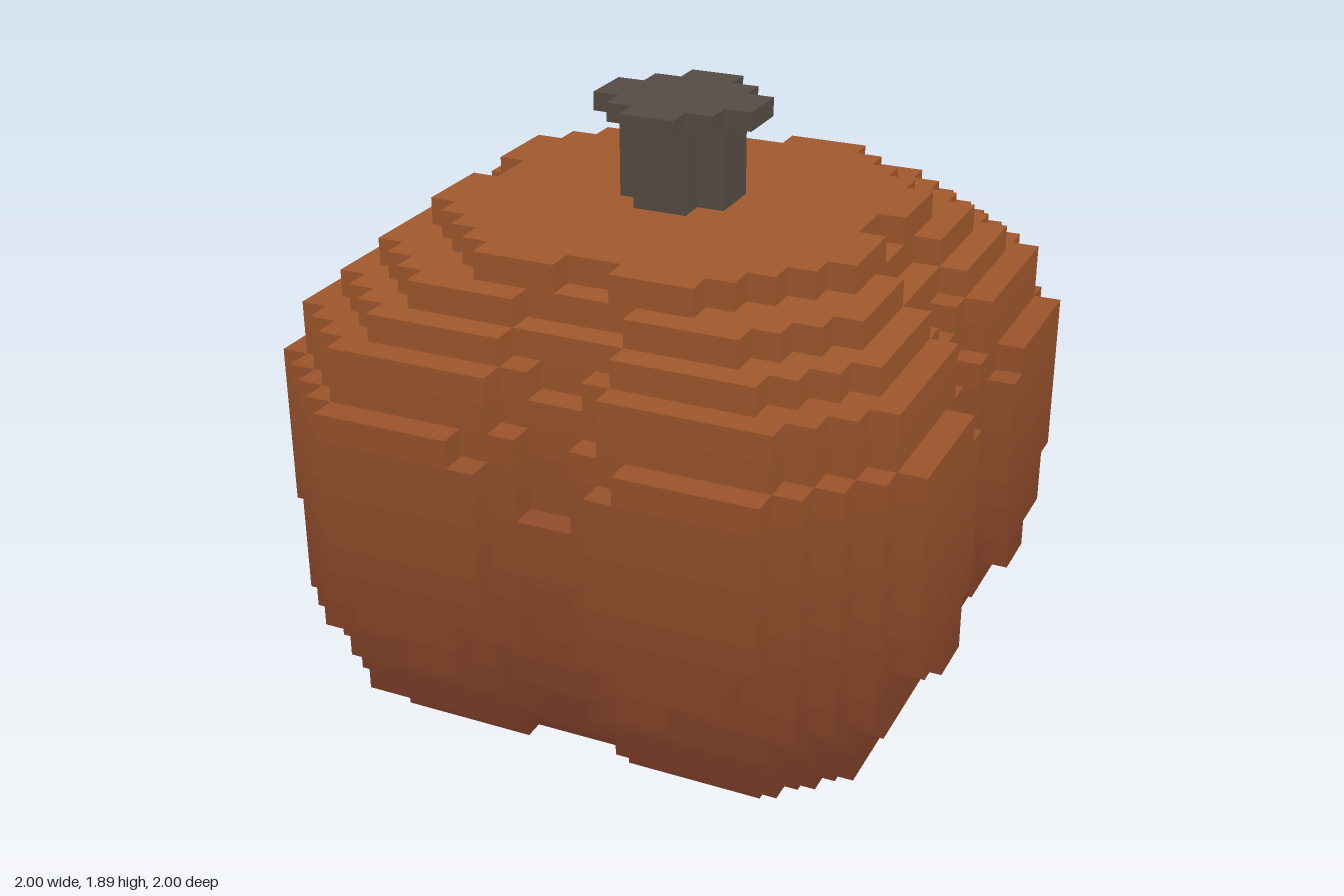
import * as THREE from 'three';
import { mergeGeometries } from 'three/addons/utils/BufferGeometryUtils.js';

const U = 1 / 12; // cell size

// One entry per layer, bottom to top:
// r = half width in cells, s = corner cut (largest sum of the two cell indices),
// g = half width of the groove, d = half width of a second, deeper groove step,
// e = last cell of the raised lobe
const L = (r, s, g, d = 0, e = 99) => ({ r, s, g, d, e });
const BODY = [
  L(7, 11, 0), L(9, 14, 2), L(10, 16, 2), L(10, 16, 1), L(11, 17, 2),
  L(12, 18, 3, 2, 4), L(12, 18, 3, 1, 6), L(12, 18, 2, 1, 6), L(12, 18, 2, 1),
  L(12, 18, 2), L(12, 18, 2), L(12, 18, 2, 1), L(12, 18, 2, 1), L(12, 18, 3, 1),
  L(11, 17, 2), L(11, 17, 2, 1), L(10, 15, 2), L(9, 13, 2), L(8, 10, 1),
];
const STEM = [L(2, 1, 0), L(2, 1, 0), L(2, 1, 0), L(3, 2, 0)];
const LAYERS = [...BODY, ...STEM];
const levels = LAYERS.map((_, k) => k * U);
levels.push(1.89); // the stem cap is a thinner layer

// Is the cell filled?
function solid(i, k, j) {
  const l = LAYERS[k];
  if (!l) return false;
  const a = i < 0 ? -i - 1 : i;
  const b = j < 0 ? -j - 1 : j;
  const lo = Math.min(a, b), hi = Math.max(a, b);
  let reach = l.r;
  if (lo < l.g || lo > l.e) reach -= 1;
  if (lo < l.d) reach -= 1;
  return hi < reach && a + b <= l.s;
}

// Exposed cell faces of one layer
const SIDES = [[1, 0, 0], [-1, 0, 0], [0, 1, 0], [0, -1, 0], [0, 0, 1], [0, 0, -1]];
function layerGeometry(k) {
  const faces = [];
  const y0 = levels[k], h = levels[k + 1] - y0;
  for (let i = -12; i < 12; i++) for (let j = -12; j < 12; j++) {
    if (!solid(i, k, j)) continue;
    for (const [dx, dy, dz] of SIDES) {
      if (solid(i + dx, k + dy, j + dz)) continue;
      const face = new THREE.PlaneGeometry(U, dy ? U : h);
      if (dy) face.rotateX(-dy * Math.PI / 2);
      else face.rotateY(Math.atan2(dx, dz));
      face.translate(
        (i + 0.5 + dx / 2) * U,
        y0 + h / 2 + dy * h / 2,
        (j + 0.5 + dz / 2) * U
      );
      faces.push(face);
    }
  }
  return mergeGeometries(faces);
}

function addLayer(group, name, k, color) {
  const material = new THREE.MeshStandardMaterial({ color });
  const mesh = new THREE.Mesh(layerGeometry(k), material);
  mesh.name = name;
  group.add(mesh);
}

export function createModel() {
  const model = new THREE.Group();
  model.name = 'pumpkin';

  // Ribbed body, dark red at the base to orange on top
  const body = new THREE.Group();
  body.name = 'body';
  const low = new THREE.Color(0x743626), high = new THREE.Color(0xa2592d);
  BODY.forEach((_, k) => {
    const t = Math.min(1, k / (BODY.length - 3));
    addLayer(body, 'bodyLayer' + (k + 1), k, low.clone().lerp(high, t));
  });

  // Stem with a wider cap
  const stem = new THREE.Group();
  stem.name = 'stem';
  STEM.forEach((_, n) => {
    const name = n === STEM.length - 1 ? 'stemCap' : 'stemLayer' + (n + 1);
    addLayer(stem, name, BODY.length + n, 0x564c44);
  });

  model.add(body, stem);
  return model;
}
